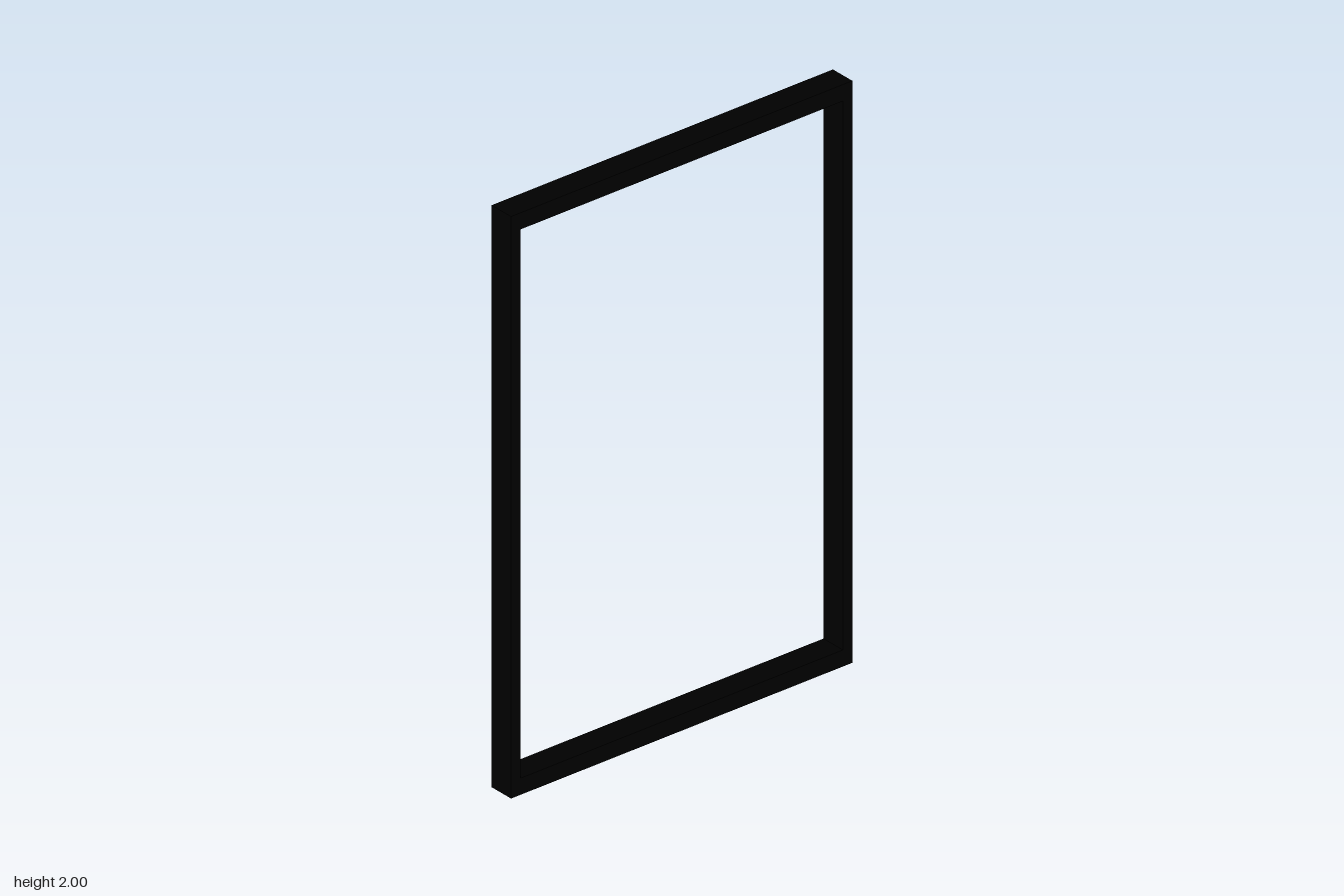
import * as THREE from 'three';

const WIDTH = 1.333, HEIGHT = 2, DEPTH = 0.092;
const STILE = 0.037, RAIL = 0.057; // bar widths: sides, top and bottom

export function createModel() {
  const group = new THREE.Group();
  group.name = 'rectangularFrame';

  // Outer outline with the opening cut out
  const w = WIDTH / 2, iw = w - STILE;
  const outline = new THREE.Shape([
    new THREE.Vector2(-w, 0), new THREE.Vector2(w, 0),
    new THREE.Vector2(w, HEIGHT), new THREE.Vector2(-w, HEIGHT),
  ]);
  outline.holes.push(new THREE.Path([
    new THREE.Vector2(-iw, RAIL), new THREE.Vector2(-iw, HEIGHT - RAIL),
    new THREE.Vector2(iw, HEIGHT - RAIL), new THREE.Vector2(iw, RAIL),
  ]));

  // Solid frame, centred on z = 0
  const geometry = new THREE.ExtrudeGeometry(outline, { depth: DEPTH, bevelEnabled: false });
  geometry.translate(0, 0, -DEPTH / 2);
  const frame = new THREE.Mesh(geometry, new THREE.MeshStandardMaterial({ color: 0x000000 }));
  frame.name = 'frame';
  group.add(frame);
  return group;
}
